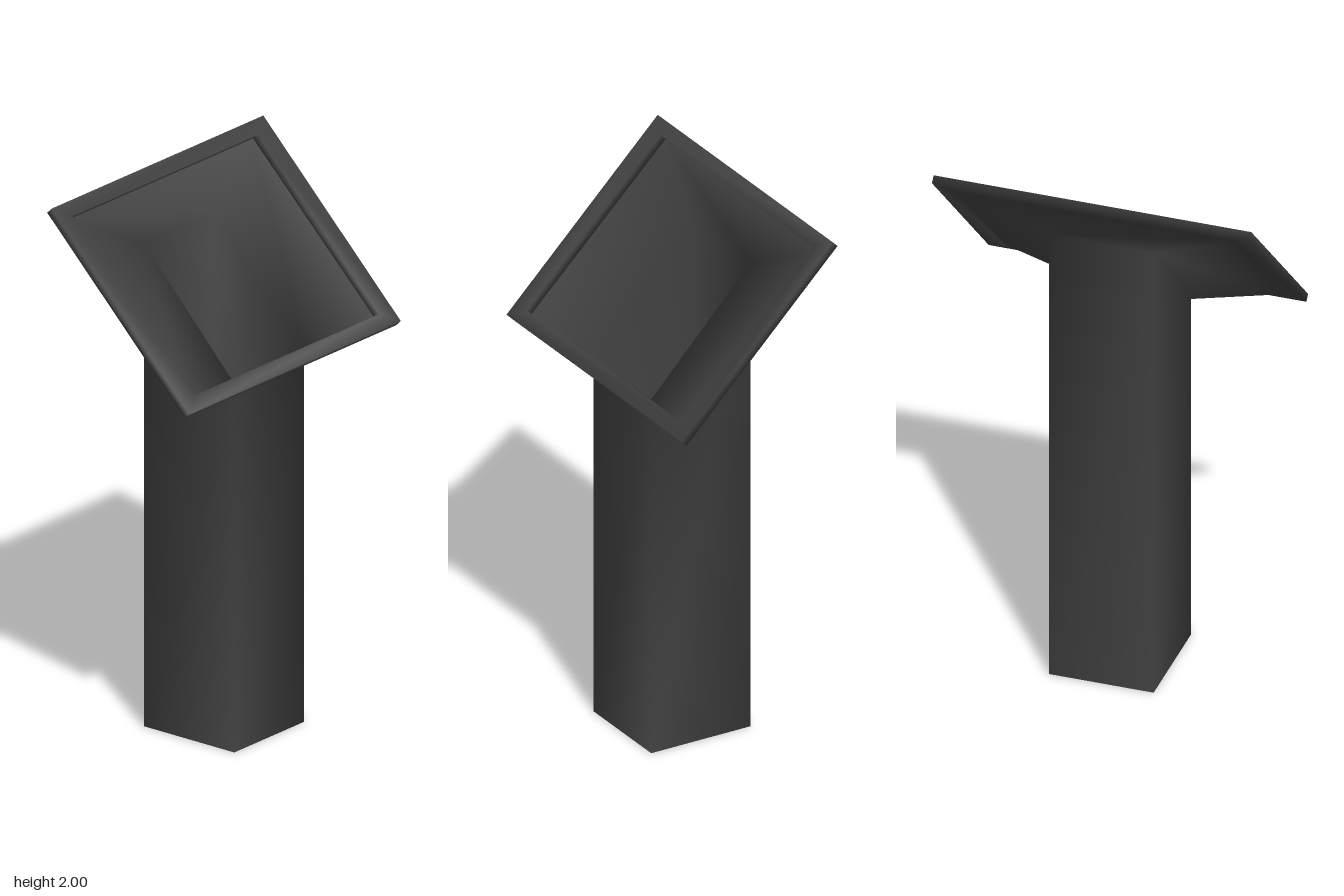
import * as THREE from 'three';

const charcoal = new THREE.MeshStandardMaterial({ color: 0x424242, side: THREE.DoubleSide });
charcoal.name = 'charcoal';

// Rectangular cross-section given by its half width and its front and back [y, z]
function ring(halfX, [yFront, zFront], [yBack, zBack]) {
  return [
    [halfX, yFront, zFront], [halfX, yBack, zBack],
    [-halfX, yBack, zBack], [-halfX, yFront, zFront],
  ];
}

// Skin a series of four-cornered rings with shared corners, for smooth normals
function loft(name, rings, closed = false) {
  const geometry = new THREE.BufferGeometry();
  geometry.setAttribute('position', new THREE.Float32BufferAttribute(rings.flat(2), 3));
  const index = [];
  const spans = closed ? rings.length : rings.length - 1;
  for (let r = 0; r < spans; r++) {
    const low = r * 4, high = ((r + 1) % rings.length) * 4;
    for (let i = 0; i < 4; i++) {
      const j = (i + 1) % 4;
      index.push(low + i, low + j, high + j, low + i, high + j, high + i);
    }
  }
  geometry.setIndex(index);
  geometry.computeVertexNormals();
  const mesh = new THREE.Mesh(geometry, charcoal);
  mesh.name = name;
  return mesh;
}

export function createModel() {
  const model = new THREE.Group();
  model.name = 'lectern';

  const postBottom = ring(0.19, [0, 0.2], [0, -0.2]);
  const postTop = ring(0.19, [1.36, 0.2], [1.78, -0.2]);
  const innerBottom = ring(0.505, [1.408, 0.258], [1.94, -0.282]);
  const outerBottom = ring(0.577, [1.37, 0.295], [1.98, -0.315]);
  const outerTop = ring(0.577, [1.39, 0.315], [2.0, -0.295]);
  const innerTop = ring(0.505, [1.428, 0.278], [1.96, -0.262]);

  // Hollow post, open at both ends, flaring into the slanted tray
  model.add(loft('postAndTray', [postBottom, postTop, innerBottom]));

  // Slanted frame around the open tray
  model.add(loft('trayFrame', [innerBottom, outerBottom, outerTop, innerTop], true));

  return model;
}
